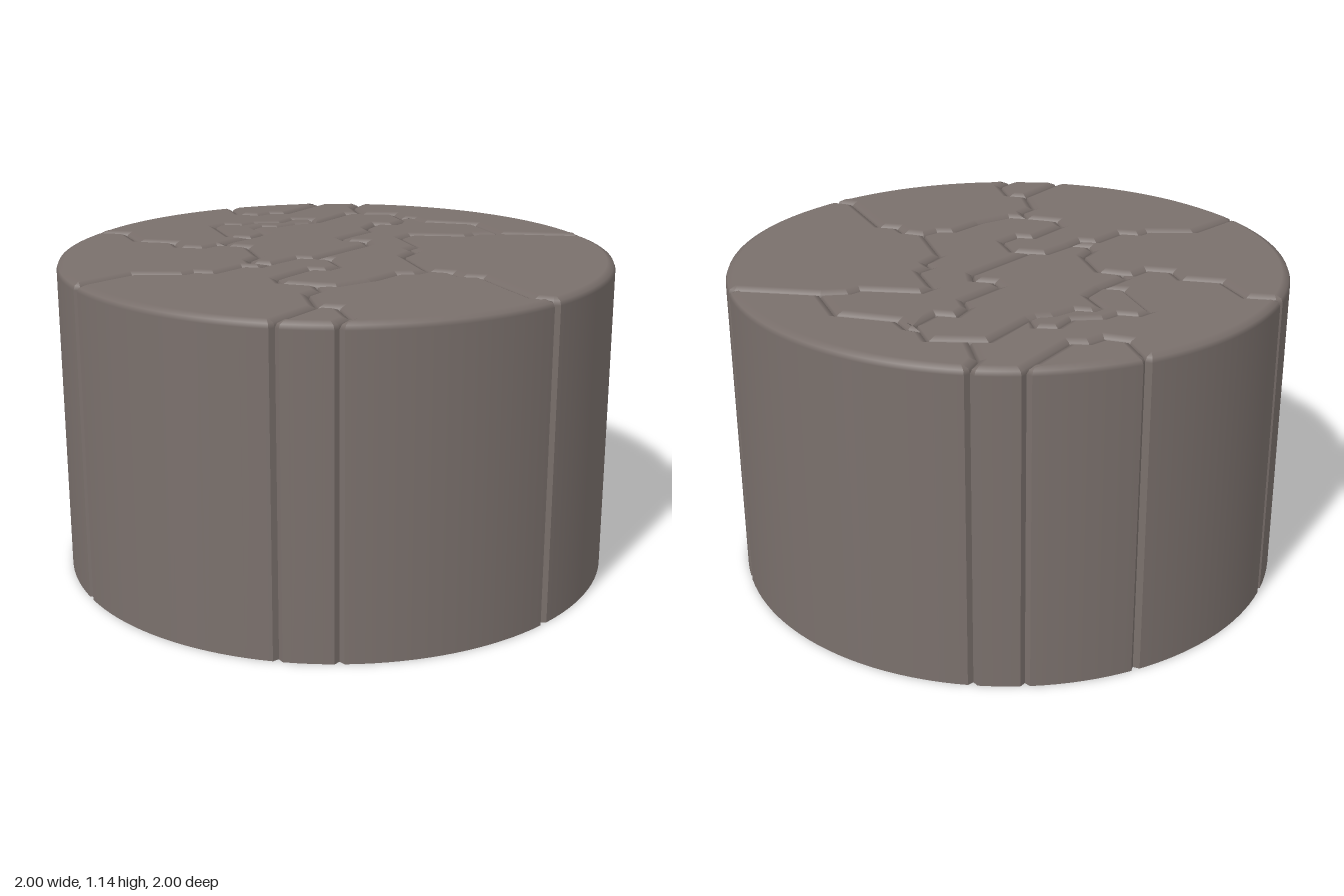
import * as THREE from 'three';

const HEIGHT = 1.14;

// Cracks seen from above as x, z pairs in hundredths; pieces share them
const cracks = {
  west: [-98, -20, -86, -20, -77, -7, -63, -7, -59, 0, -50, 0, -46, -6, -42, -6],
  coreWest: [-42, -6, -44, -10, -37, -22],
  hookInner: [-37, -22, -34, -30, -41, -40, -38, -44, -32, -44, -26, -51, -21, -53, -19, -55],
  hookOuter: [-37, -22, -45, -22, -56, -40, -53, -44, -46, -44, -42, -49, -32, -52, -29, -60, -22, -61, -19, -55],
  coreNorthWest: [-19, -55, -10, -76, -4, -77],
  north: [-9, -99, -10, -91, -4, -77],
  coreNorth: [-4, -77, 9, -79, 13, -72],
  northEast: [13, -72, 18, -71, 23, -65, 44, -64, 55, -47],
  east: [87, -50, 55, -47],
  stripEast: [55, -47, 46, -44, 43, -40, 22, -38, 19, -33, 28, -18, 25, -13, 28, -9, 25, 0, 37, 22],
  coreEast: [13, -72, 16, -67, 12, -57, 5, -57, 3, -49, 6, -43, -3, -27, 0, -23, 7, -23, 9, -17, -6, 10],
  coreSouthWest: [-42, -6, -34, -5, -26, 10, -28, 17, -26, 21, -19, 21],
  coreSouth: [-19, 21, -12, 10, -6, 10],
  southWest: [-75, 65, -62, 46, -45, 43, -42, 39, -35, 39, -28, 27, -22, 27, -19, 21],
  stripSouthWest: [-6, 10, 0, 10, 6, 20, 2, 27, -4, 27, -12, 43, -9, 49, 3, 50],
  stripSouth: [3, 50, 10, 50, 20, 40, 27, 28, 33, 27, 37, 22],
  southEast: [37, 22, 45, 23, 49, 28, 56, 28, 75, 54, 83, 56],
  south: [3, 50, 6, 57, 3, 63, 9, 78],
  wedgeWest: [9, 78, 0, 100],
  wedgeEast: [9, 78, 16, 78, 22, 90, 20, 98],
  notch: [-60, -79, -53, -67, -45, -66, -41, -71, -35, -72, -26, -96],
};

// Each piece walks round its cracks; "-" walks a crack backwards
const pieces = {
  coreStone: 'coreWest hookInner coreNorthWest coreNorth coreEast -coreSouth -coreSouthWest',
  hookStone: 'hookInner -hookOuter',
  northWestStone: 'west coreWest hookOuter coreNorthWest -north -notch',
  notchStone: 'notch',
  northEastStone: 'north coreNorth northEast -east',
  eastStone: 'east stripEast southEast',
  stripStone: 'northEast stripEast -stripSouth -stripSouthWest -coreEast',
  westStone: 'west coreSouthWest -southWest',
  southWestStone: 'southWest coreSouth stripSouthWest south wedgeWest',
  wedgeStone: '-wedgeWest wedgeEast',
  southEastStone: '-southEast -stripSouth south wedgeEast',
};

// Crack as points; ends on the rim sit slightly inside it to leave a groove
function crackPoints(name) {
  const flat = cracks[name.replace('-', '')];
  const pts = [];
  for (let i = 0; i < flat.length; i += 2) {
    const p = new THREE.Vector2(flat[i] / 100, flat[i + 1] / 100);
    if (p.length() > 0.96) { p.setLength(0.982); p.end = true; }
    pts.push(p);
  }
  return name[0] === '-' ? pts.reverse() : pts;
}

// Points along the round rim between two crack ends
function rimArc(a, b) {
  const start = Math.atan2(a.y, a.x);
  let sweep = Math.atan2(b.y, b.x) - start;
  if (sweep > Math.PI) sweep -= 2 * Math.PI;
  if (sweep < -Math.PI) sweep += 2 * Math.PI;
  const gap = 0.016 * Math.sign(sweep);
  const n = Math.max(3, Math.ceil(Math.abs(sweep) / 0.05));
  return Array.from({ length: n + 1 }, (_, i) => {
    const t = start + gap + (sweep - 2 * gap) * i / n;
    const p = new THREE.Vector2(Math.cos(t), Math.sin(t));
    p.rim = true;
    return p;
  });
}

function pieceOutline(walk) {
  const parts = walk.split(' ').map(crackPoints);
  const loop = [];
  parts.forEach((pts, i) => {
    const next = parts[(i + 1) % parts.length][0];
    const last = pts[pts.length - 1];
    if (last.end) loop.push(...pts, ...rimArc(last, next));
    else loop.push(...pts.slice(0, -1));
  });
  return THREE.ShapeUtils.area(loop) < 0 ? loop.reverse() : loop;
}

// Open-bottomed block: upright walls, soft bevel, flat top
function stoneGeometry(loop, bevel) {
  const n = loop.length;
  const out = loop.map((p, i) => {
    const q = loop[(i + 1) % n];
    return new THREE.Vector2(q.y - p.y, p.x - q.x).normalize();
  });
  const mitre = loop.map((_, i) => {
    const a = out[(i + n - 1) % n], b = out[i];
    return a.clone().add(b).divideScalar(Math.max(0.5, 1 + a.dot(b)));
  });

  // Bevel profile: inset, height, tilt of the normal
  const profile = [
    [0, 0, 0], [0, HEIGHT - 0.025, 0],
    [bevel * 0.2, HEIGHT - 0.01, 0.65], [bevel, HEIGHT, Math.PI / 2],
  ];
  const rings = profile.map(([inset, y]) => loop.map((p, i) =>
    new THREE.Vector3(p.x - mitre[i].x * inset, y, p.y - mitre[i].y * inset)));

  const pos = [], nor = [];
  const add = (v, x, y, z) => { pos.push(v.x, v.y, v.z); nor.push(x, y, z); };
  const wall = (k, i, edge) => {
    const onRim = loop[edge].rim && loop[(edge + 1) % n].rim;
    const d = onRim ? loop[i] : out[edge];
    const c = Math.cos(profile[k][2]);
    add(rings[k][i], d.x * c, Math.sin(profile[k][2]), d.y * c);
  };
  for (let k = 0; k < profile.length - 1; k++) {
    for (let i = 0; i < n; i++) {
      const j = (i + 1) % n;
      wall(k, i, i); wall(k + 1, i, i); wall(k, j, i);
      wall(k, j, i); wall(k + 1, i, i); wall(k + 1, j, i);
    }
  }
  const top = rings[profile.length - 1];
  const flat = top.map((v) => new THREE.Vector2(v.x, v.z));
  for (const [a, b, c] of THREE.ShapeUtils.triangulateShape(flat, [])) {
    for (const i of [a, c, b]) add(top[i], 0, 1, 0);
  }

  const geo = new THREE.BufferGeometry();
  geo.setAttribute('position', new THREE.Float32BufferAttribute(pos, 3));
  geo.setAttribute('normal', new THREE.Float32BufferAttribute(nor, 3));
  return geo;
}

export function createModel() {
  const model = new THREE.Group();
  model.name = 'crackedStoneDrum';
  const stone = new THREE.MeshStandardMaterial({ color: 0x7a706c, side: THREE.DoubleSide });
  for (const [name, walk] of Object.entries(pieces)) {
    const bevel = name === 'hookStone' ? 0.018 : 0.03;
    const mesh = new THREE.Mesh(stoneGeometry(pieceOutline(walk), bevel), stone);
    mesh.name = name;
    model.add(mesh);
  }
  return model;
}
